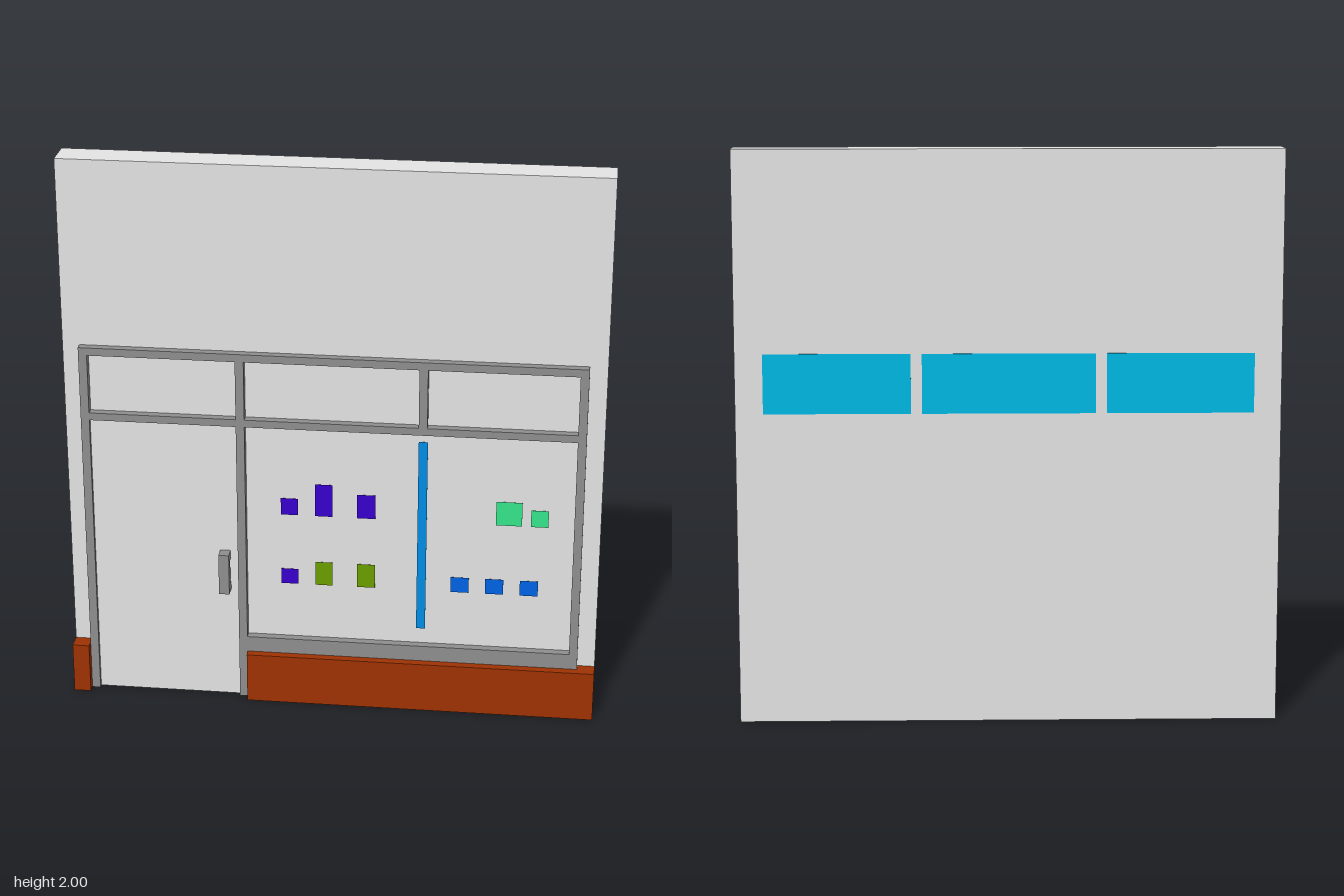
import * as THREE from 'three';

const mat = (name, color) => {
  const m = new THREE.MeshStandardMaterial({ color });
  m.name = name;
  return m;
};

export function createModel() {
  const wallGrey = mat('wall grey', 0xe3e3e3);
  const frameGrey = mat('frame grey', 0x8e8e8e);
  const brick = mat('brick brown', 0x9d3202);
  const glass = mat('glass teal', 0x00b8e4);
  const stripBlue = mat('strip blue', 0x008de5);
  const purple = mat('purple', 0x3800cd);
  const olive = mat('olive', 0x6b9d00);
  const green = mat('green', 0x35e48c);
  const blue = mat('blue', 0x0062e4);

  const model = new THREE.Group();
  model.name = 'shopfront';

  // Box given by its limits on each axis
  const box = (parent, name, material, x0, x1, y0, y1, z0, z1) => {
    const mesh = new THREE.Mesh(new THREE.BoxGeometry(x1 - x0, y1 - y0, z1 - z0), material);
    mesh.position.set((x0 + x1) / 2, (y0 + y1) / 2, (z0 + z1) / 2);
    mesh.name = name;
    parent.add(mesh);
  };
  const group = (name) => {
    const g = new THREE.Group();
    g.name = name;
    model.add(g);
    return g;
  };

  // Wall slab and brick plinths either side of the door
  box(model, 'wall', wallGrey, -0.94, 0.94, 0, 2, -0.09, 0.03);
  box(model, 'plinthRight', brick, -0.94, -0.88, 0, 0.185, 0.03, 0.09);
  box(model, 'plinthLeft', brick, -0.303, 0.94, 0, 0.185, 0.03, 0.09);

  // Door and window frame
  const frame = group('frame');
  box(frame, 'doorPost', frameGrey, -0.88, -0.85, 0, 1.305, 0.03, 0.06);
  box(frame, 'centrePost', frameGrey, -0.334, -0.304, 0, 1.305, 0.03, 0.06);
  box(frame, 'windowPost', frameGrey, 0.848, 0.878, 0.185, 1.305, 0.03, 0.06);
  box(frame, 'topRail', frameGrey, -0.88, 0.878, 1.305, 1.333, 0.03, 0.06);
  box(frame, 'sill', frameGrey, -0.304, 0.848, 0.185, 0.243, 0.03, 0.06);
  box(frame, 'transomMullion', frameGrey, 0.302, 0.332, 1.09, 1.305, 0.03, 0.06);
  for (const [x0, x1] of [[-0.85, -0.334], [-0.304, 0.848]])
    box(frame, 'transomRail', frameGrey, x0, x1, 1.063, 1.09, 0.03, 0.06);

  // Door leaf: grey outside, glass inside and underneath
  box(model, 'doorLeaf', [wallGrey, wallGrey, wallGrey, glass, wallGrey, glass],
    -0.85, -0.334, 0.001, 1.063, 0.038, 0.045);

  // Door handle: grip on two brackets
  const handle = group('doorHandle');
  box(handle, 'grip', frameGrey, -0.399, -0.362, 0.425, 0.578, 0.06, 0.09);
  for (const y of [0.425, 0.548])
    box(handle, 'bracket', frameGrey, -0.399, -0.362, y, y + 0.03, 0.03, 0.06);

  // Transom panes on the inside of the wall
  const panes = group('transomPanes');
  for (const [x0, x1] of [[-0.846, -0.338], [-0.3, 0.298], [0.336, 0.844]])
    box(panes, 'transomPane', glass, x0, x1, 1.093, 1.301, -0.0915, -0.09);

  // Display goods and the upright strip in the shop window
  const display = group('display');
  box(display, 'uprightStrip', stripBlue, 0.301, 0.333, 0.303, 1.028, 0.035, 0.036);
  const goods = [
    [purple, -0.182, 0.725, 0.061, 0.063],
    [purple, -0.06, 0.725, 0.061, 0.122],
    [purple, 0.088, 0.725, 0.064, 0.09],
    [purple, -0.182, 0.455, 0.061, 0.058],
    [olive, -0.06, 0.455, 0.061, 0.09],
    [olive, 0.088, 0.455, 0.064, 0.09],
    [green, 0.575, 0.725, 0.091, 0.09],
    [green, 0.697, 0.725, 0.061, 0.063],
    [blue, 0.421, 0.455, 0.064, 0.058],
    [blue, 0.543, 0.455, 0.064, 0.058],
    [blue, 0.665, 0.455, 0.064, 0.058],
  ];
  for (const [m, x, y, w, h] of goods)
    box(display, 'displayItem', m, x, x + w, y, y + h, 0.035, 0.036);

  return model;
}
